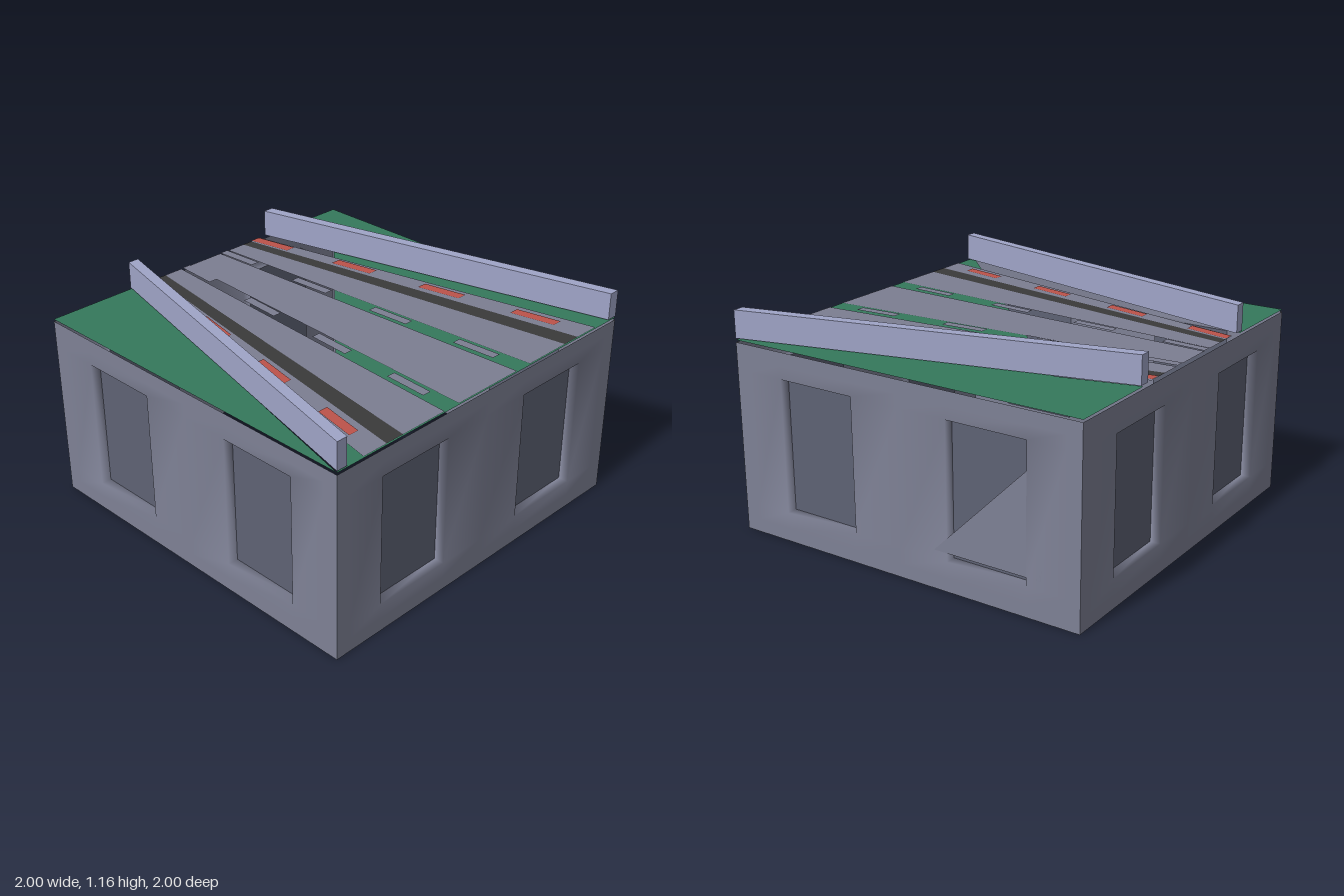
import * as THREE from 'three';
import { mergeVertices } from 'three/addons/utils/BufferGeometryUtils.js';

const paint = (name, color) =>
  new THREE.MeshStandardMaterial({ name, color, side: THREE.DoubleSide });

// Geometry from a list of four-cornered (or three-cornered) faces
function faces(list, smooth = false) {
  const pos = [];
  for (const f of list)
    for (let i = 1; i < f.length - 1; i++) pos.push(...f[0], ...f[i], ...f[i + 1]);
  let g = new THREE.BufferGeometry();
  g.setAttribute('position', new THREE.Float32BufferAttribute(pos, 3));
  if (smooth) g = mergeVertices(g);
  g.computeVertexNormals();
  return g;
}

export function createModel() {
  const model = new THREE.Group();
  model.name = 'roadBlock';
  const wallGrey = paint('wallGrey', 0x7e8195);
  const panelGrey = paint('panelGrey', 0x5e6274);
  const roadGrey = paint('roadGrey', 0x7c7e92);
  const railLavender = paint('railLavender', 0xa0a5c8);
  const grassGreen = paint('grassGreen', 0x35795c);
  const lineBlack = paint('lineBlack', 0x3a3a3a);
  const kerbRed = paint('kerbRed', 0xbd534a);

  const add = (name, geometry, material, parent = model) => {
    const mesh = new THREE.Mesh(geometry, material);
    mesh.name = name;
    parent.add(mesh);
    return mesh;
  };

  // Walls: a smooth sheet with two recessed panels, repeated on four sides
  const us = [-1, -0.92, -0.715, -0.275, 0, 0.275, 0.715, 0.92, 1];
  const vs = [0, 0.07, 0.155, 0.86, 0.93, 1];
  const depth = 0.055;
  const frame = [], panels = [];
  for (let i = 0; i < us.length - 1; i++) {
    for (let j = 0; j < vs.length - 1; j++) {
      const rect = (z) => [
        [us[i], vs[j], z], [us[i + 1], vs[j], z],
        [us[i + 1], vs[j + 1], z], [us[i], vs[j + 1], z],
      ];
      const outer = rect(1);
      if (j === 2 && (i === 2 || i === 5)) {
        const inner = rect(1 - depth);
        panels.push(inner);
        for (let k = 0; k < 4; k++) {
          const n = (k + 1) % 4;
          frame.push([outer[k], outer[n], inner[n], inner[k]]);
        }
      } else frame.push(outer);
    }
  }
  const frameGeometry = faces(frame, true);
  const panelGeometry = faces(panels);
  ['front', 'right', 'back', 'left'].forEach((side, k) => {
    const wall = new THREE.Group();
    wall.name = side + 'Wall';
    wall.rotation.y = (k * Math.PI) / 2;
    add('wallFrame', frameGeometry, wallGrey, wall);
    add('recessedPanels', panelGeometry, panelGrey, wall);
    model.add(wall);
  });
  // Sloping sheet that covers part of one recess
  add('wallPatch', faces([[[1, 0.2, -0.2], [1, 0.2, -0.8], [1, 0.8, -0.8]]]), wallGrey);

  // Grass: half the deck plus a wedge outside each rail
  const flat = (name, pts, y, material) =>
    add(name, faces([pts.map(([x, z]) => [x, y, z])]), material);
  flat('grassHalf', [[-1, 1], [1, 1], [1, -1]], 1.012, grassGreen);
  flat('grassWedgeRight', [[-1, -1], [-1, 1], [-0.49, -1]], 1.012, grassGreen);
  flat('grassWedgeLeft', [[0.49, -1], [1, 1], [1, -1]], 1.012, grassGreen);

  // Tapering strip given by its x range at the back end and at the front end
  const strip = (name, b0, b1, f0, f1, y, material, z0 = -0.995, z1 = 0.995) =>
    flat(name, [[b0, z0], [f0, z1], [f1, z1], [b1, z0]], y, material);
  const pair = (name, b0, b1, f0, f1, ...rest) => {
    strip(name + 'Left', b0, b1, f0, f1, ...rest);
    strip(name + 'Right', -b1, -b0, -f1, -f0, ...rest);
  };

  // Road lanes and black lines
  const roadY = 1.016;
  strip('centreLane', -0.11, 0.11, -0.21, 0.21, roadY, roadGrey);
  pair('sideLane', 0.17, 0.28, 0.31, 0.585, roadY, roadGrey);
  pair('blackLine', 0.28, 0.34, 0.585, 0.69, roadY, lineBlack);
  pair('outerLane', 0.34, 0.41, 0.69, 0.835, roadY, roadGrey);

  // Dashes along the lane gaps and red kerb marks
  for (const z0 of [-0.995, -0.465, 0.068, 0.6]) {
    const z1 = z0 + 0.238;
    const dash = (name, start, slope, half, y, material) => {
      const b = start + slope * (z0 + 1), f = start + slope * (z1 + 1);
      pair(name, b - half, b + half, f - half, f + half, y, material, z0, z1);
    };
    dash('laneDash', 0.135, 0.063, 0.025, 1.019, roadGrey);
    dash('kerbMark', 0.37, 0.197, 0.028, 1.02, kerbRed);
  }

  // Slanted guard rails
  for (const s of [-1, 1]) {
    const foot = new THREE.Shape(
      [[0.45, 1], [0.51, 1], [1, -1], [0.94, -1]].map(([x, y]) => new THREE.Vector2(s * x, y)));
    const rail = new THREE.ExtrudeGeometry(foot, { depth: 0.145, bevelEnabled: false });
    rail.rotateX(-Math.PI / 2).translate(0, 1.02, 0);
    add(s > 0 ? 'guardRailLeft' : 'guardRailRight', rail, railLavender);
  }
  return model;
}
